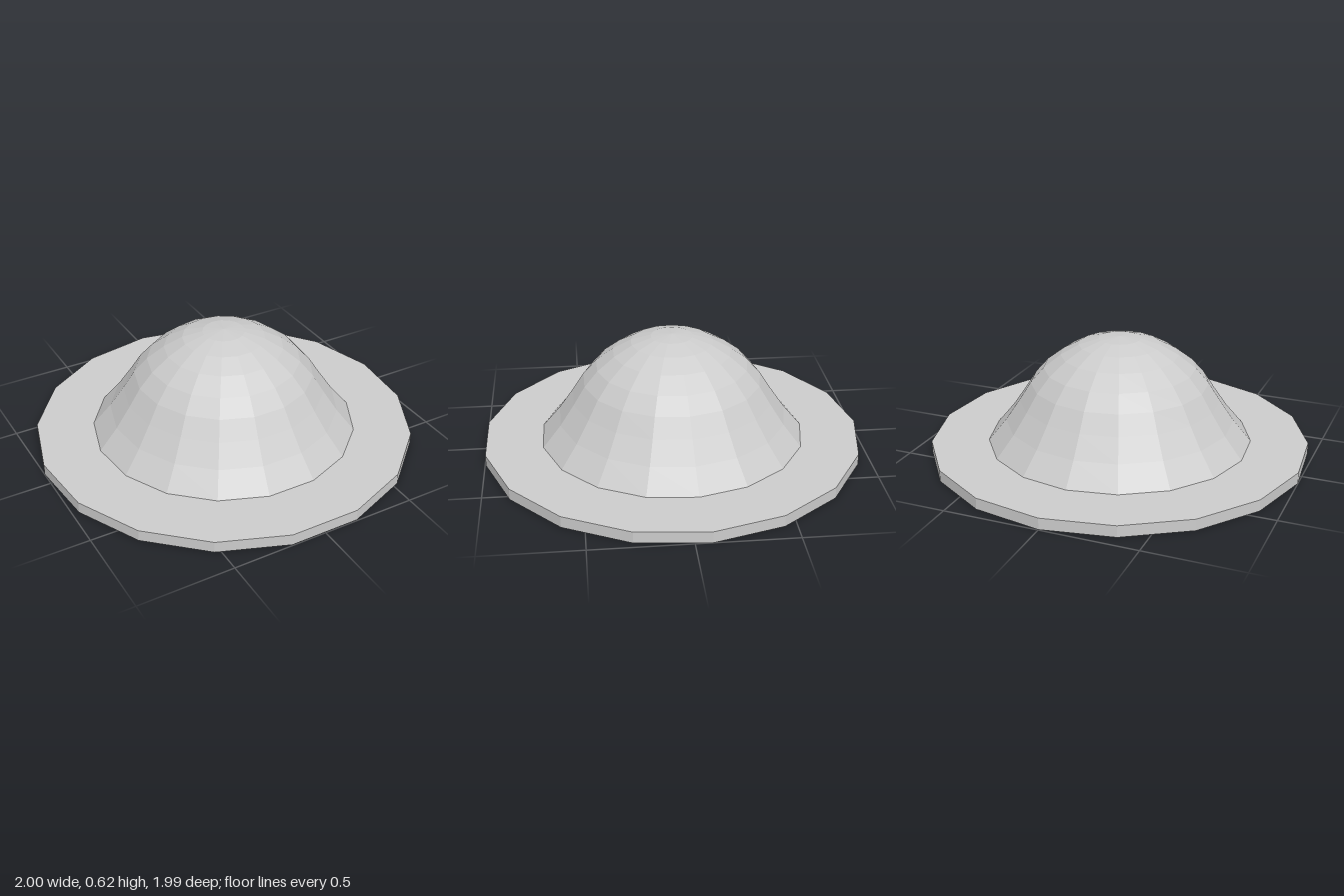
import * as THREE from 'three';

const SIDES = 17;

export function createModel() {
  const group = new THREE.Group();
  group.name = 'domedHat';
  const material = new THREE.MeshStandardMaterial({ color: 0xcccccc, flatShading: true });

  // Both parts are 17-sided turned shapes with one corner at the back
  const addLathe = (name, profile) => {
    const points = profile.map(([r, y]) => new THREE.Vector2(r, y));
    const mesh = new THREE.Mesh(new THREE.LatheGeometry(points, SIDES, Math.PI), material);
    mesh.name = name;
    mesh.position.z = 0.008; // centres the odd-sided outline
    group.add(mesh);
  };

  // Flat brim
  addLathe('brim', [[0, 0], [1.004, 0], [1.004, 0.06], [0, 0.06]]);

  // Bell-shaped dome, flaring at the foot
  addLathe('dome', [
    [0.7, 0.06], [0.605, 0.175], [0.53, 0.285], [0.47, 0.38], [0.4, 0.46],
    [0.31, 0.53], [0.215, 0.583], [0.11, 0.614], [0, 0.624],
  ]);

  return group;
}
